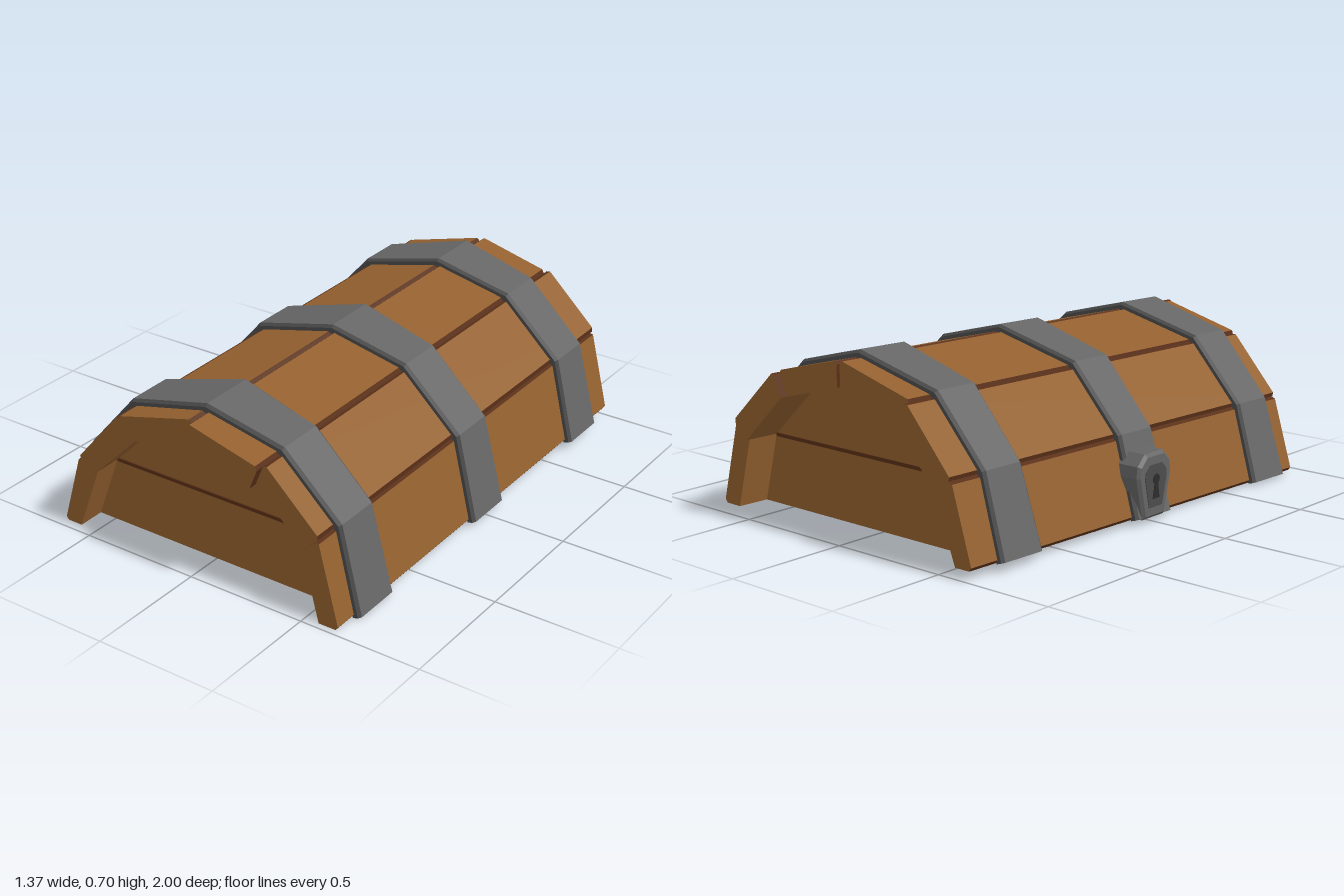
import * as THREE from 'three';

const mat = (name, color, extra = {}) => Object.assign(new THREE.MeshStandardMaterial({ color, ...extra }), { name });

// Arch profile from left foot over the ridge to right foot
const V = (x, y) => new THREE.Vector2(x, y);
const OUTER = [V(-0.65, 0.028), V(-0.555, 0.335), V(-0.34, 0.578), V(0.015, 0.673), V(0.33, 0.593), V(0.565, 0.37), V(0.652, 0.028)];
const INNER = [V(-0.57, 0.028), V(-0.465, 0.298), V(-0.26, 0.498), V(0.015, 0.573), V(0.29, 0.498), V(0.495, 0.303), V(0.565, 0.028)];

// The whole lid leans slightly: it rises and drifts sideways toward the back
const lean = (p, z) => [p.x - 0.005 * z, p.y - 0.018 * z, z];

// Collects flat quads and triangles into two material groups
function faceBuilder() {
  const lists = [[], []];
  return {
    poly(m, pts) {
      for (let i = 1; i < pts.length - 1; i++) lists[m].push(...pts[0], ...pts[i], ...pts[i + 1]);
    },
    mesh(name, materials) {
      const g = new THREE.BufferGeometry();
      g.setAttribute('position', new THREE.Float32BufferAttribute(lists.flat(), 3));
      const n = lists[0].length / 3;
      g.addGroup(0, n, 0);
      g.addGroup(n, lists[1].length / 3, 1);
      g.computeVertexNormals();
      const mesh = new THREE.Mesh(g, materials);
      mesh.name = name;
      return mesh;
    },
  };
}

// Convex section (counter-clockwise) drawn out along z, chosen edges in the second material
function prism(name, section, z0, z1, darkEdges, materials) {
  const f = faceBuilder();
  section.forEach((p, i) => {
    const q = section[(i + 1) % section.length];
    f.poly(darkEdges.includes(i) ? 1 : 0, [lean(p, z0), lean(q, z0), lean(q, z1), lean(p, z1)]);
  });
  f.poly(0, section.map((p) => lean(p, z1)));
  f.poly(0, section.map((p) => lean(p, z0)).reverse());
  return f.mesh(name, materials);
}

const toward = (a, b, d) => a.clone().add(b.clone().sub(a).setLength(d));

// Arch profile pushed outward by d with mitred corners
function offsetProfile(d) {
  const normals = OUTER.slice(1).map((p, i) => V(-(p.y - OUTER[i].y), p.x - OUTER[i].x).normalize());
  return OUTER.map((p, i) => {
    const a = normals[Math.max(i - 1, 0)], b = normals[Math.min(i, normals.length - 1)];
    const n = a.clone().add(b).normalize();
    return p.clone().addScaledVector(n, d / n.dot(a));
  });
}

// Metal strap bent over the planks, its width varying from knee to knee
function strap(name, z, materials) {
  const f = faceBuilder();
  const half = [0.108, 0.1, 0.104, 0.122, 0.104, 0.102, 0.108];
  const low = offsetProfile(-0.008), mid = offsetProfile(0.014), top = offsetProfile(0.024);
  const rings = half.map((h, i) => [
    lean(low[i], z - h), lean(mid[i], z - h), lean(top[i], z - h + 0.012),
    lean(top[i], z + h - 0.012), lean(mid[i], z + h), lean(low[i], z + h),
  ]);
  for (let i = 0; i < rings.length - 1; i++) {
    const a = rings[i], b = rings[i + 1];
    for (let k = 0; k < 6; k++) {
      const j = (k + 1) % 6;
      f.poly(k === 2 || k === 5 ? 0 : 1, [a[k], a[j], b[j], b[k]]);
    }
  }
  f.poly(1, [...rings[0]].reverse());
  f.poly(1, rings[rings.length - 1]);
  return f.mesh(name, materials);
}

// Shield outline of the lock plate, in z and y
function shieldShape(s) {
  const shape = new THREE.Shape();
  shape.moveTo(-0.055 * s, -0.115 * s);
  shape.lineTo(0.055 * s, -0.115 * s);
  shape.lineTo(0.09 * s, 0.04 * s);
  shape.lineTo(0.085 * s, 0.08 * s);
  shape.lineTo(0.05 * s, 0.115 * s);
  shape.lineTo(-0.05 * s, 0.115 * s);
  shape.lineTo(-0.085 * s, 0.08 * s);
  shape.lineTo(-0.09 * s, 0.04 * s);
  shape.closePath();
  return shape;
}

export function createModel() {
  const wood = mat('wood', 0x94612f);
  const darkWood = mat('dark wood', 0x5a3018);
  const metal = mat('metal', 0x666666);
  const darkMetal = mat('dark metal', 0x4c4c4c);
  const timber = [wood, darkWood], iron = [metal, darkMetal];

  const model = new THREE.Group();
  model.name = 'chestLid';

  // Six planks of uneven length with dark chamfered long edges
  const ends = [[-0.985, 0.96], [-0.985, 0.965], [-0.96, 0.97], [-0.975, 1.0], [-1.0, 0.965], [-0.985, 0.975]];
  ends.forEach(([z0, z1], i) => {
    const a = INNER[i], b = INNER[i + 1], A = OUTER[i], B = OUTER[i + 1];
    const section = [a, b, toward(B, b, 0.014), toward(B, A, 0.014), toward(A, B, 0.014), toward(A, a, 0.014)];
    model.add(prism('plank' + (i + 1), section, z0, z1, [1, 2, 4, 5], timber));
  });

  // Recessed end walls of two boards each, with a dark seam
  for (const [side, s] of [['front', 1], ['back', -1]]) {
    const z0 = Math.min(0.76 * s, 0.85 * s), z1 = z0 + 0.09;
    const I = INNER;
    model.add(prism(side + 'LowerBoard', [I[0], I[6], I[5], I[1]], z0, z1, [0, 2], timber));
    model.add(prism(side + 'UpperBoard', [I[1], I[5], I[4], I[3], I[2]], z0, z1, [0], timber));
    const seam = new THREE.Mesh(new THREE.BoxGeometry(0.95, 0.014, 0.008), darkWood);
    seam.position.set(...lean(V(0.015, 0.303), 0.852 * s));
    seam.name = side + 'Seam';
    model.add(seam);
  }

  // Three straps
  [['front', 0.77], ['middle', 0.004], ['back', -0.745]].forEach(([n, z]) => model.add(strap(n + 'Strap', z, iron)));

  // Lock on the right side, facing -x
  const lock = new THREE.Group();
  lock.name = 'lock';
  const addPlate = (name, shape, depth, x, material, bevel) => {
    const g = new THREE.ExtrudeGeometry(shape, {
      depth, curveSegments: 6, bevelEnabled: bevel > 0, bevelSize: bevel, bevelThickness: bevel, bevelSegments: 1,
    });
    const m = new THREE.Mesh(g, material);
    m.rotation.y = -Math.PI / 2;
    m.position.x = x;
    m.name = name;
    lock.add(m);
  };
  addPlate('lockBody', shieldShape(1), 0.1, -0.572, metal, 0.012);
  addPlate('lockPlate', shieldShape(0.72), 0.004, -0.683, darkMetal, 0);
  const keyhole = new THREE.Shape();
  keyhole.moveTo(-0.02, -0.05);
  keyhole.lineTo(0.02, -0.05);
  keyhole.lineTo(0.01, 0.01);
  keyhole.absarc(0, 0.025, 0.02, -Math.PI / 3, Math.PI * 4 / 3, false);
  keyhole.closePath();
  addPlate('keyhole', keyhole, 0.003, -0.686, mat('keyhole black', 0x2c2c2c), 0);
  lock.position.set(0, 0.158, -0.012);
  model.add(lock);

  return model;
}
